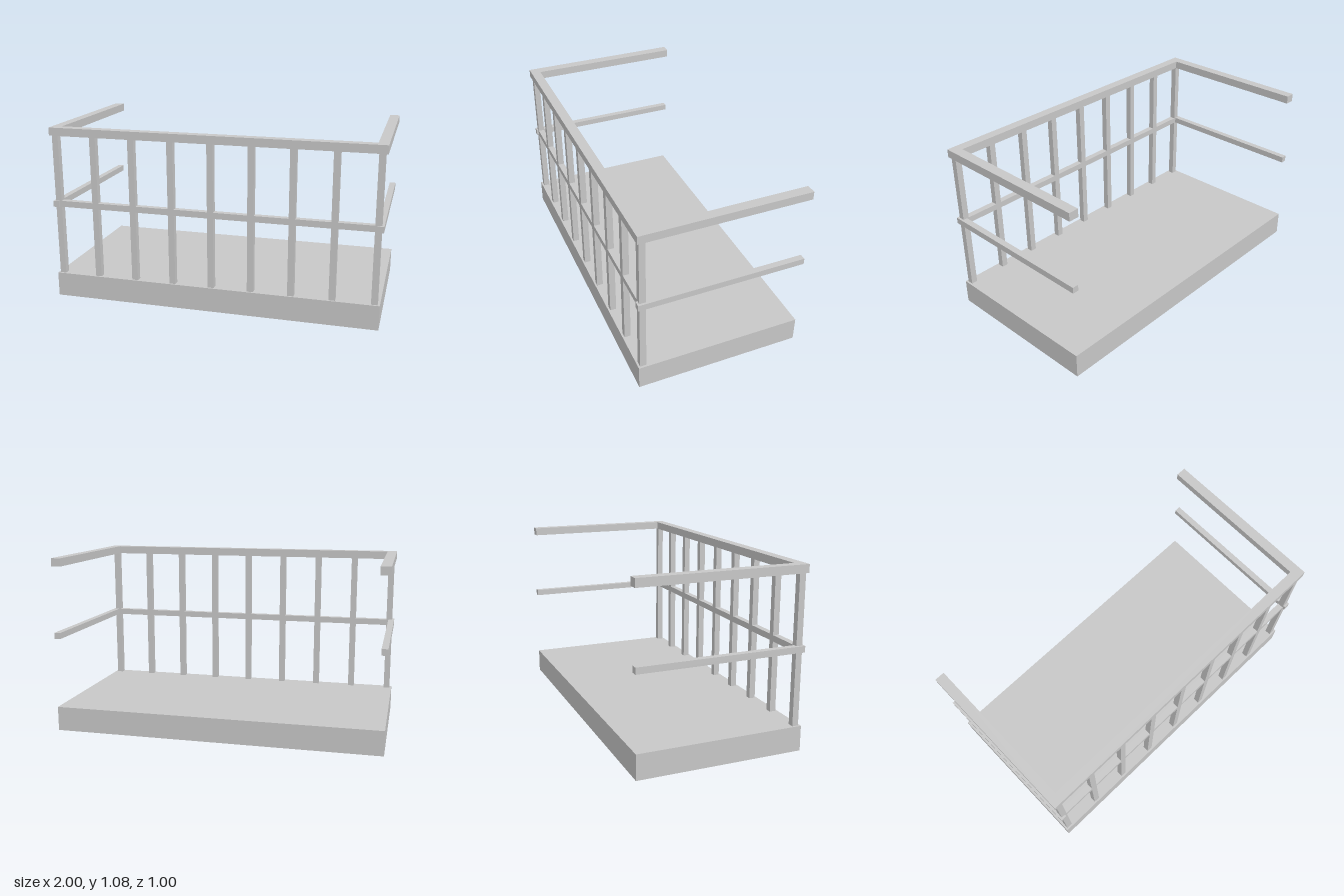
import * as THREE from 'three';

export function createModel() {
  const model = new THREE.Group();
  model.name = 'balcony';
  const grey = new THREE.MeshStandardMaterial({ color: 0xc7c7c7 });
  grey.name = 'light grey';

  // Adds a box given its min and max corners
  const box = (name, [x0, y0, z0], [x1, y1, z1]) => {
    const mesh = new THREE.Mesh(new THREE.BoxGeometry(x1 - x0, y1 - y0, z1 - z0), grey);
    mesh.position.set((x0 + x1) / 2, (y0 + y1) / 2, (z0 + z1) / 2);
    mesh.name = name;
    model.add(mesh);
  };

  const slabTop = 0.15, railBottom = 1.026, railTop = 1.075;
  const midBottom = 0.5825, midTop = 0.62;
  const railWidth = 0.06, bar = 0.0375;
  const postBack = 0.451, postFront = postBack + bar;

  // Floor slab
  box('floorSlab', [-1, 0, -0.5], [1, slabTop, 0.5]);

  // Front handrail and middle rail, the latter flush with the posts
  box('frontHandrail', [-1, railBottom, 0.5 - railWidth], [1, railTop, 0.5]);
  box('frontMiddleRail', [-1 + bar, midBottom, postBack], [1 - bar, midTop, postFront]);

  // Side rails, open at the back
  for (const [side, sign] of [['left', 1], ['right', -1]]) {
    const span = (w) => [sign * (1 - w), sign].sort((a, b) => a - b);
    const [h0, h1] = span(railWidth);
    box(side + 'Handrail', [h0, railBottom, -0.5], [h1, railTop, 0.5 - railWidth]);
    const [m0, m1] = span(bar);
    box(side + 'MiddleRail', [m0, midBottom, -0.5], [m1, midTop, 0.5]);
  }

  // Nine evenly spaced posts along the front
  for (let i = 0; i < 9; i++) {
    const x = -0.9685 + (i * 2 * 0.9685) / 8;
    box('frontPost' + (i + 1), [x - bar / 2, slabTop, postBack], [x + bar / 2, railBottom, postFront]);
  }

  return model;
}
